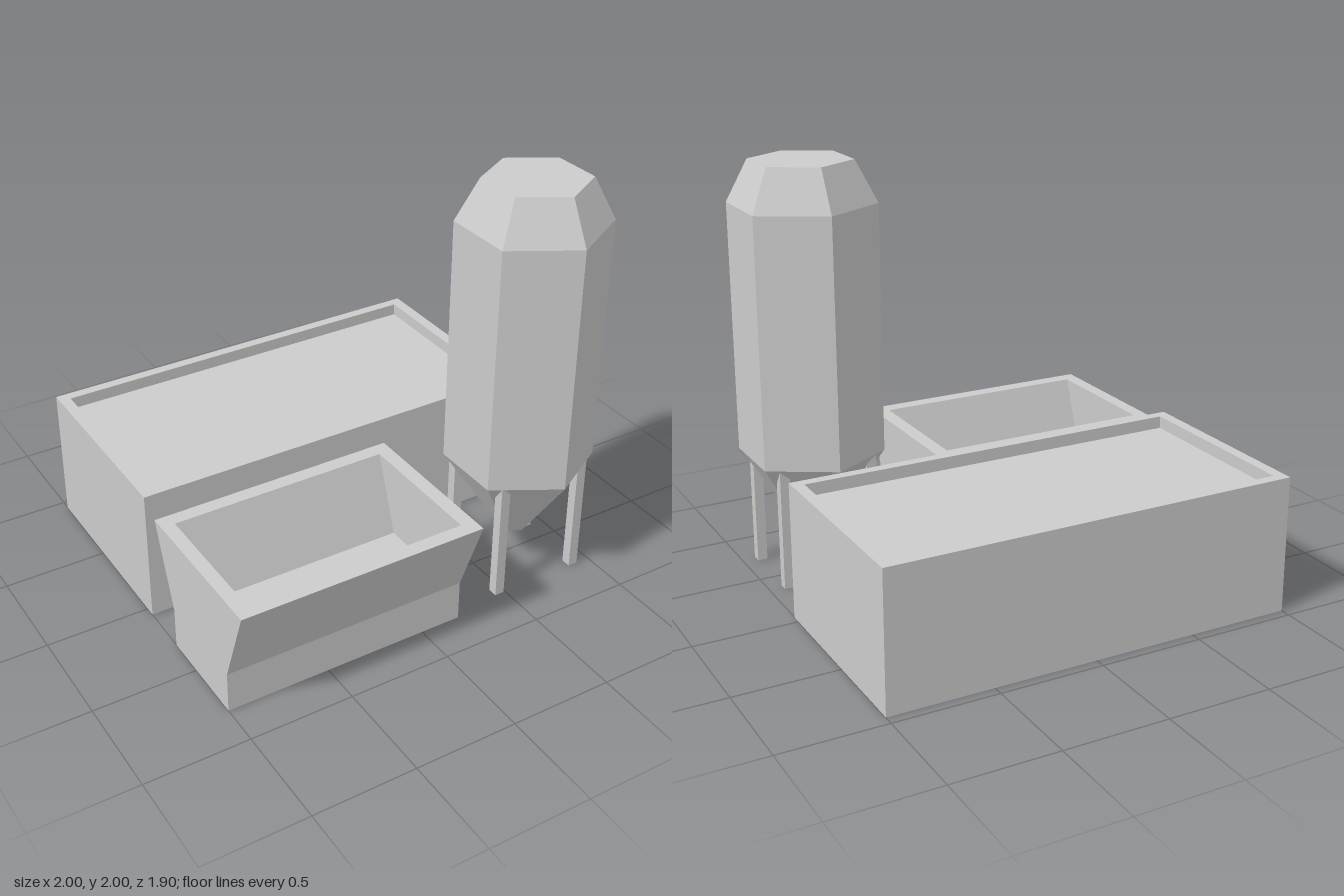
import * as THREE from 'three';

const material = new THREE.MeshStandardMaterial({ color: 0xcccccc, flatShading: true });

function add(parent, name, geometry, x = 0, y = 0, z = 0) {
  const mesh = new THREE.Mesh(geometry, material);
  mesh.name = name;
  mesh.position.set(x, y, z);
  parent.add(mesh);
  return mesh;
}

function group(parent, name) {
  const g = new THREE.Group();
  g.name = name;
  parent.add(g);
  return g;
}

// Extrudes a [z, y] outline along x, from x0 to x1.
function extrudeAlongX(points, x0, x1) {
  const shape = new THREE.Shape(points.map(([z, y]) => new THREE.Vector2(-z, y)));
  return new THREE.ExtrudeGeometry(shape, { depth: x1 - x0, bevelEnabled: false })
    .rotateY(Math.PI / 2)
    .translate(x0, 0, 0);
}

function rectangle(PathType, halfW, halfD) {
  return new PathType([[-1, -1], [1, -1], [1, 1], [-1, 1]].map(
    ([x, y]) => new THREE.Vector2(x * halfW, y * halfD)));
}

export function createModel() {
  const model = new THREE.Group();
  model.name = 'siloAndBunkers';

  // Flat-roofed block with a low parapet
  const block = group(model, 'block');
  block.position.z = -0.45;
  add(block, 'blockBody', new THREE.BoxGeometry(2, 0.6, 1), 0, 0.3, 0);
  const rim = rectangle(THREE.Shape, 1, 0.5);
  rim.holes.push(rectangle(THREE.Path, 0.945, 0.45));
  add(block, 'parapet', new THREE.ExtrudeGeometry(rim, { depth: 0.06, bevelEnabled: false })
    .rotateX(-Math.PI / 2), 0, 0.6, 0);

  // Open trough: sloped hollow section closed by two end walls
  const trough = group(model, 'trough');
  trough.position.z = 0.55;
  const outer = [[-0.4, 0.6], [-0.25, 0.2], [-0.25, 0], [0.25, 0], [0.25, 0.2], [0.4, 0.6]];
  const inner = [[0.33, 0.6], [0.194, 0.23], [-0.194, 0.23], [-0.33, 0.6]];
  add(trough, 'troughBody', extrudeAlongX([...outer, ...inner], -0.935, 0.13));
  add(trough, 'endWallRight', extrudeAlongX(outer, -1, -0.935));
  add(trough, 'endWallLeft', extrudeAlongX(outer, 0.13, 0.2));

  // Hexagonal silo with hopper bottom and tapered roof
  const silo = group(model, 'silo');
  silo.position.set(0.69, 0, 0.55);
  const profile = [[0, 0.2], [0.07, 0.2], [0.35, 0.6], [0.35, 1.8], [0.245, 2], [0, 2]];
  add(silo, 'tank', new THREE.LatheGeometry(
    profile.map(([r, y]) => new THREE.Vector2(r, y)), 6));

  // Four legs
  for (const x of [-0.222, 0.217]) {
    for (const z of [-0.18, 0.185]) {
      add(silo, 'leg', new THREE.BoxGeometry(0.048, 0.6, 0.048), x, 0.3, z);
    }
  }
  return model;
}
